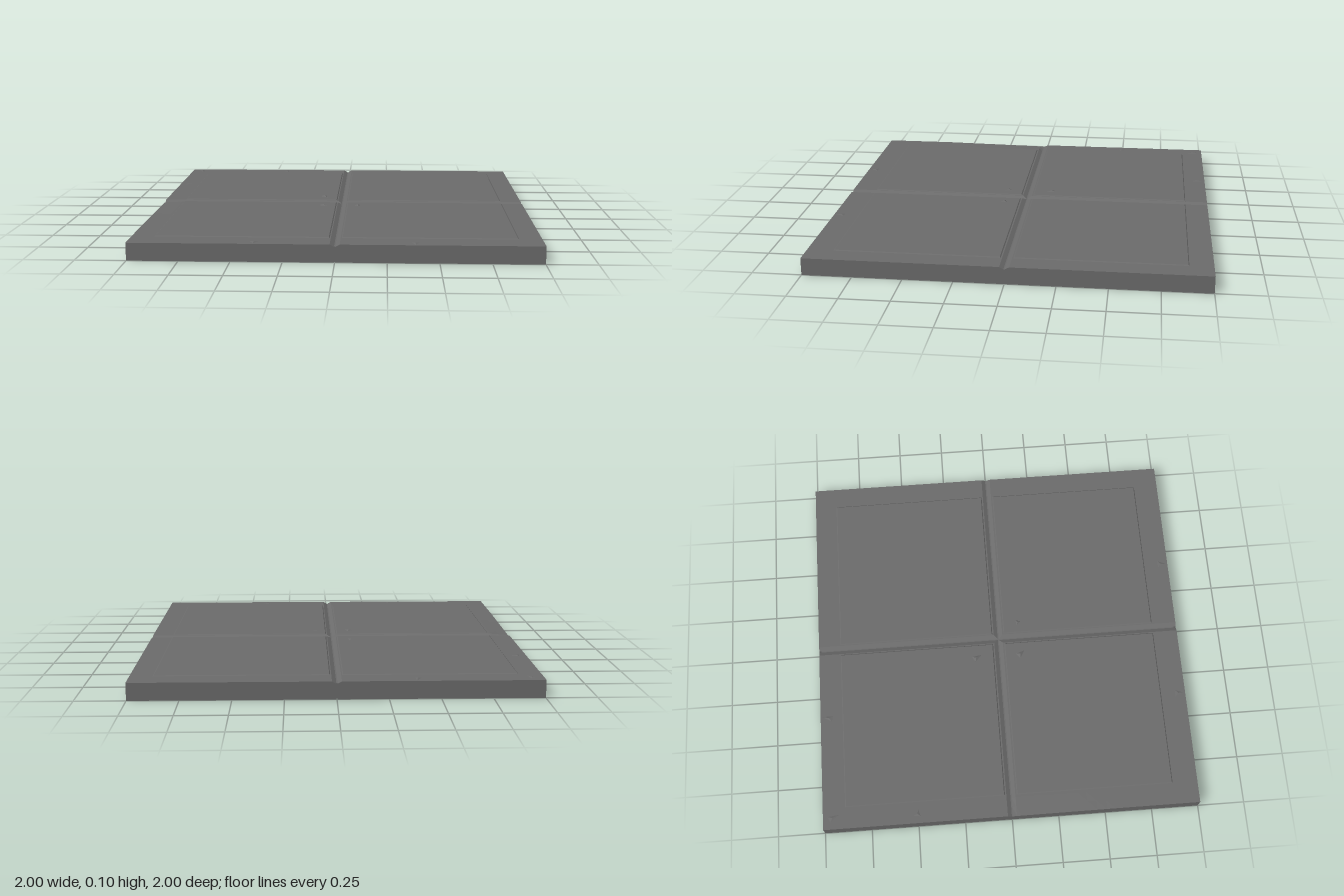
import * as THREE from 'three';

const stone = new THREE.MeshStandardMaterial({ color: 0x6c6c6c });
stone.name = 'grey stone';

function part(name, geometry, parent) {
  const mesh = new THREE.Mesh(geometry, stone);
  mesh.name = name;
  parent.add(mesh);
  return mesh;
}

// Box between two corners; rule(v, isTop) moves its vertices, then it is faceted.
function block([x0, x1], [y0, y1], [z0, z1], segments, rule) {
  const box = new THREE.BoxGeometry(x1 - x0, y1 - y0, z1 - z0, segments, 1, segments);
  box.translate((x0 + x1) / 2, (y0 + y1) / 2, (z0 + z1) / 2);
  const pos = box.attributes.position;
  const v = new THREE.Vector3();
  const middle = (y0 + y1) / 2;
  for (let i = 0; i < pos.count; i++) {
    v.fromBufferAttribute(pos, i);
    rule(v, v.y > middle);
    pos.setXYZ(i, v.x, v.y, v.z);
  }
  const flat = box.toNonIndexed();
  flat.computeVertexNormals();
  return flat;
}

export function createModel() {
  const group = new THREE.Group();
  group.name = 'floorSlab';
  const bed = 0.077, rimTop = 0.088, panelTop = 0.092;

  // Base with a narrow seam cut into the front and back edges
  const s = 0.003, d = 0.012;
  const plan = new THREE.Shape([
    [-1, -1], [-s, -1], [-s, -1 + d], [s, -1 + d], [s, -1], [1, -1],
    [1, 1], [s, 1], [s, 1 - d], [-s, 1 - d], [-s, 1], [-1, 1],
  ].map(([x, y]) => new THREE.Vector2(x, y)));
  const base = new THREE.ExtrudeGeometry(plan, { depth: bed, bevelEnabled: false });
  base.rotateX(-Math.PI / 2);
  part('base', base, group);

  for (const sx of [-1, 1]) {
    for (const sz of [-1, 1]) {
      const span = (side, a, b) => (side > 0 ? [a, b] : [-b, -a]);

      // Quarter tile whose inner edges slope into the cross-shaped groove
      part('quarterTile', block(span(sx, s, 1), [bed, rimTop], span(sz, s, 1), 20, (v, top) => {
        if (!top) return;
        if (Math.abs(v.x) < 0.01) v.x = sx * 0.024;
        if (Math.abs(v.z) < 0.01) v.z = sz * 0.024;
        // Worn edge on one outer corner of the groove
        if (sx < 0 && sz > 0) {
          v.y -= 0.009 * Math.max(0, 1 - (v.x + 1) / 0.1) * Math.max(0, 1 - v.z / 0.6);
        }
      }), group);

      // Slightly raised panel with a small bevel
      const px = span(sx, 0.028, 0.888);
      const pz = span(sz, 0.03, sz > 0 ? 0.868 : 0.882);
      const cx = (px[0] + px[1]) / 2, cz = (pz[0] + pz[1]) / 2;
      part('raisedPanel', block(px, [rimTop - 0.001, panelTop], pz, 1, (v, top) => {
        if (!top) return;
        v.x -= Math.sign(v.x - cx) * 0.006;
        v.z -= Math.sign(v.z - cz) * 0.006;
      }), group);
    }
  }

  // Small angular chips: x, z, surface height, width, length, rise, turn
  const chips = [
    [-0.105, -0.13, panelTop, 0.022, 0.036, 0.007, 0.5],
    [-0.1, 0.115, panelTop, 0.022, 0.034, 0.007, 0.7],
    [0.09, 0.115, panelTop, 0.02, 0.02, 0.006, 0.2],
    [-0.39, -0.955, rimTop, 0.02, 0.045, 0.004, 2.9],
    [-0.39, 0.96, rimTop, 0.026, 0.035, 0.004, 0],
    [0.385, 0.96, rimTop, 0.026, 0.035, 0.004, 0],
    [-0.95, -0.5, rimTop, 0.024, 0.028, 0.004, 1.4],
    [-0.94, -0.95, rimTop, 0.022, 0.045, 0.004, 0.4],
  ];
  for (const [x, z, y, width, length, rise, turn] of chips) {
    const cone = new THREE.ConeGeometry(1, 1, 3).toNonIndexed();
    cone.translate(0, 0.5, 0);
    cone.scale(width, rise, length);
    cone.computeVertexNormals();
    const chip = part('chip', cone, group);
    chip.position.set(x, y - 0.0005, z);
    chip.rotation.y = turn;
  }

  return group;
}
